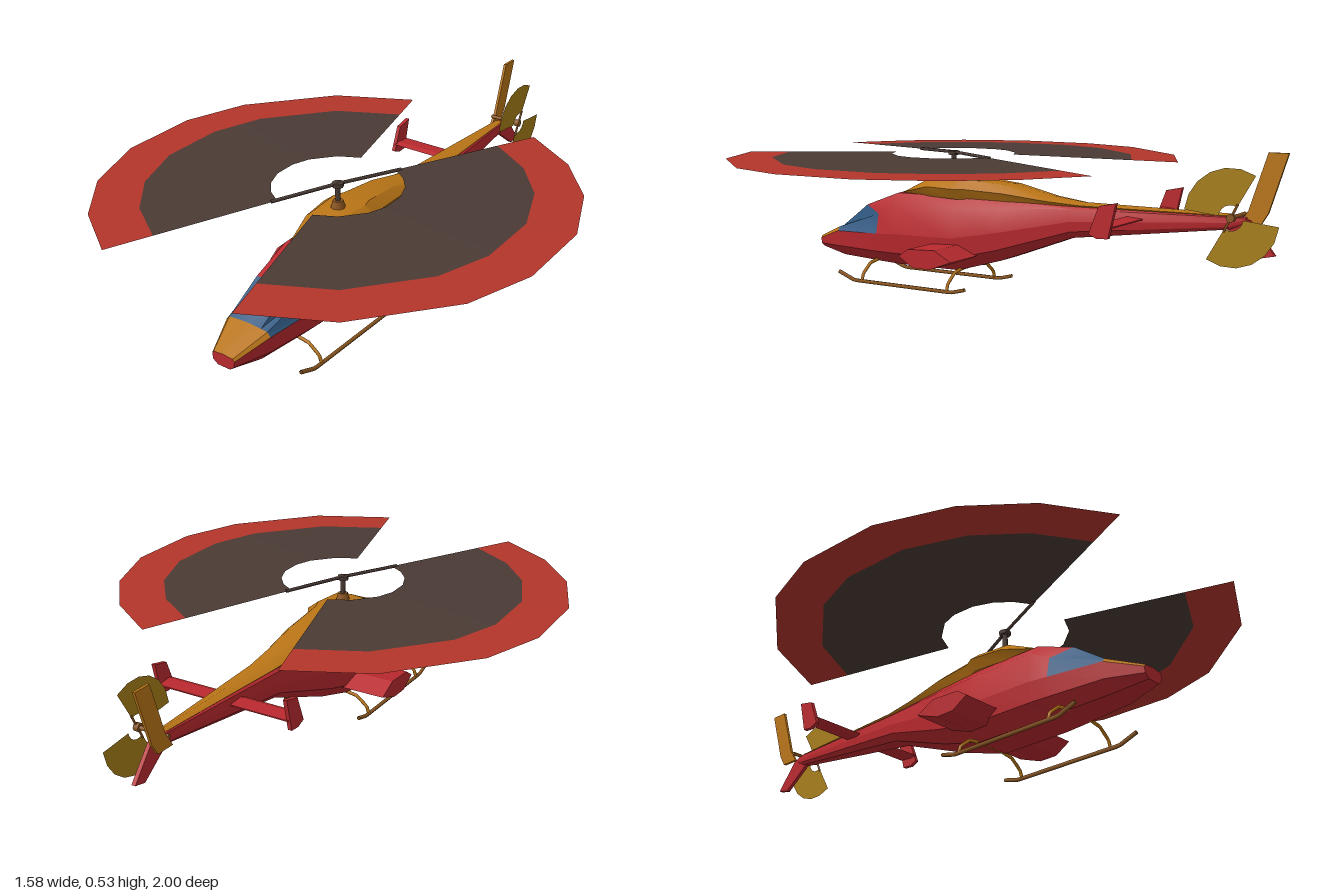
import * as THREE from 'three';
import { toCreasedNormals } from 'three/addons/utils/BufferGeometryUtils.js';

const paint = (color) => new THREE.MeshStandardMaterial({ color, side: THREE.DoubleSide });
const RED = paint(0xb8292e), ORANGE = paint(0xb87416), BLUE = paint(0x2f5880);
const DARK = paint(0x4a3a34), YELLOW = paint(0xa57d18), BROWN = paint(0x8a5520);
const TIP = paint(0xb3352a);
const lerp = THREE.MathUtils.lerp;

function add(parent, name, geometry, material) {
  const mesh = new THREE.Mesh(geometry, material);
  mesh.name = name;
  parent.add(mesh);
  return mesh;
}

// Skin over rows of [x, y, z] points
function skin(rows, crease = 0.6) {
  const pos = [];
  for (let i = 0; i < rows.length - 1; i++) {
    for (let j = 0; j < rows[i].length - 1; j++) {
      const a = rows[i][j], b = rows[i][j + 1], c = rows[i + 1][j + 1], d = rows[i + 1][j];
      pos.push(...a, ...b, ...c, ...a, ...c, ...d);
    }
  }
  const g = new THREE.BufferGeometry();
  g.setAttribute('position', new THREE.Float32BufferAttribute(pos, 3));
  g.computeVertexNormals();
  return toCreasedNormals(g, crease);
}

// Flat plate: outline in [z, y], thickness along x
function plate(points, thickness, x = 0) {
  const shape = new THREE.Shape(points.map(([z, y]) => new THREE.Vector2(z, y)));
  const g = new THREE.ExtrudeGeometry(shape, { depth: thickness, bevelEnabled: false });
  return g.translate(0, 0, -thickness / 2).rotateY(-Math.PI / 2).translate(x, 0, 0);
}

function rod(a, b, radius, sides = 8) {
  const A = new THREE.Vector3(...a), B = new THREE.Vector3(...b), d = B.clone().sub(A);
  const g = new THREE.CylinderGeometry(radius, radius, d.length(), sides);
  g.applyQuaternion(new THREE.Quaternion().setFromUnitVectors(new THREE.Vector3(0, 1, 0), d.normalize()));
  return g.translate(...A.add(B).multiplyScalar(0.5).toArray());
}

function bentTube(points, radius) {
  const path = new THREE.CurvePath();
  const v = points.map((p) => new THREE.Vector3(...p));
  for (let i = 1; i < v.length; i++) path.add(new THREE.LineCurve3(v[i - 1], v[i]));
  return new THREE.TubeGeometry(path, 32, radius, 6);
}

// Fuselage ring, clockwise from the top centre; rake slides the roof points forward
function ring([z, yb, yw, yt, w, rake = 0]) {
  const half = [
    [0, yt, z + rake], [0.58 * w, yt - 0.003, z + rake], [0.86 * w, lerp(yw, yt, 0.72), z],
    [w, yw, z], [0.95 * w, lerp(yb, yw, 0.4), z], [0.55 * w, yb, z], [0, yb, z],
  ];
  const mirror = half.slice(1, 6).reverse().map(([x, y, q]) => [-x, y, q]);
  return [...half, ...mirror];
}

function buildFuselage(model) {
  const body = new THREE.Group();
  body.name = 'fuselage';
  model.add(body);
  // z, bottom, waist, top, half width, rake
  const rings = [
    [0.82, 0.119, 0.12, 0.121, 0.001],
    [0.82, 0.095, 0.13, 0.142, 0.045],
    [0.70, 0.077, 0.172, 0.192, 0.09],
    [0.50, 0.07, 0.18, 0.28, 0.113, 0.075],
    [0.43, 0.068, 0.185, 0.333, 0.118],
    [0.17, 0.07, 0.19, 0.335, 0.12],
    [0.0, 0.118, 0.22, 0.335, 0.1],
    [-0.27, 0.218, 0.275, 0.333, 0.056],
    [-0.82, 0.288, 0.31, 0.333, 0.02],
    [-0.87, 0.31, 0.32, 0.33, 0.004],
  ].map(ring);
  const cut = (i0, i1, from) => skin(rings.slice(i0, i1 + 1).map((r) =>
    Array.from({ length: 7 }, (_, k) => r[(from + k) % 12])));
  add(body, 'lowerHull', cut(0, 9, 3), RED);
  add(body, 'noseTip', cut(0, 1, 9), RED);
  add(body, 'nosePanel', cut(1, 2, 9), ORANGE);
  add(body, 'windshield', cut(2, 3, 9), BLUE);
  add(body, 'upperHull', cut(3, 9, 9), RED);

  // Engine cowl running back into the spine of the boom: z, bottom, top, half width
  const cowl = [
    [0.435, 0.325, 0.333, 0.045], [0.42, 0.325, 0.34, 0.055], [0.29, 0.327, 0.398, 0.09],
    [0.17, 0.325, 0.4, 0.108], [0.13, 0.325, 0.398, 0.086], [-0.02, 0.325, 0.385, 0.075],
    [-0.18, 0.323, 0.352, 0.055], [-0.3, 0.322, 0.338, 0.043], [-0.82, 0.325, 0.337, 0.014],
  ].map(([z, yb, yt, w]) => {
    const half = [[0, yt], [0.6 * w, yt - 0.004], [w, lerp(yb, yt, 0.5)], [0.8 * w, yb]];
    const left = half.slice(1).reverse().map(([x, y]) => [-x, y, z]);
    return [...left, ...half.map(([x, y]) => [x, y, z])];
  });
  add(body, 'engineCowl', skin(cowl), ORANGE);
}

// Swept fan sectors, a point at radius r and angle a comes from place()
function fan(angles, r0, r1, place) {
  return skin([r1, r0].map((r) => angles.map((a) => place(r, THREE.MathUtils.degToRad(a)))), 0.2);
}

function buildMainRotor(model) {
  const rotor = new THREE.Group();
  rotor.name = 'mainRotor';
  rotor.position.set(0, 0, 0.232);
  model.add(rotor);
  add(rotor, 'mast', rod([0, 0.38, 0], [0, 0.485, 0], 0.009), DARK);
  add(rotor, 'mastCollar', new THREE.CylinderGeometry(0.018, 0.025, 0.025, 8).translate(0, 0.41, 0), BROWN);
  add(rotor, 'hub', new THREE.CylinderGeometry(0.02, 0.02, 0.014, 8).translate(0, 0.48, 0), DARK);
  const angles = [-66, -48.5, -31.5, -12.5, 9, 26.5, 52.5, 74];
  const cone = (r, a) => [r * Math.cos(a), 0.483 - 0.022 * r, r * Math.sin(a)];
  for (let i = 0; i < 2; i++) {
    const blade = new THREE.Group();
    blade.name = 'rotorBlade';
    blade.rotation.y = i * Math.PI;
    rotor.add(blade);
    add(blade, 'bladeSweep', fan(angles, 0.22, 0.64, cone), DARK);
    add(blade, 'bladeTip', fan(angles, 0.64, 0.8, cone), TIP);
    const root = THREE.MathUtils.degToRad(-65);
    add(blade, 'bladeRoot', rod(cone(0, root), cone(0.24, root), 0.006, 6), DARK);
  }
}

function buildTail(model) {
  const tail = new THREE.Group();
  tail.name = 'tail';
  model.add(tail);
  add(tail, 'upperFin', plate([[-0.83, 0.3], [-0.86, 0.345], [-0.92, 0.53], [-0.985, 0.53], [-0.925, 0.34], [-0.9, 0.3]], 0.01, -0.04), ORANGE);
  add(tail, 'lowerFin', plate([[-0.79, 0.3], [-0.84, 0.325], [-0.88, 0.32], [-0.965, 0.215], [-0.92, 0.205]], 0.014), RED);
  add(tail, 'tailplane', plate([[-0.455, 0.3], [-0.475, 0.307], [-0.53, 0.302], [-0.53, 0.298], [-0.475, 0.293]], 0.5), RED);
  for (const s of [-1, 1]) {
    add(tail, 'endPlate', plate([[-0.45, 0.275], [-0.485, 0.365], [-0.545, 0.378], [-0.518, 0.265], [-0.48, 0.262]], 0.014, s * 0.25), RED);
  }
  // Tail rotor on its side shaft
  const rotor = new THREE.Group();
  rotor.name = 'tailRotor';
  rotor.position.set(0, 0.333, -0.845);
  tail.add(rotor);
  add(rotor, 'shaft', rod([-0.045, 0, 0], [0.08, 0, 0], 0.007), BROWN);
  add(rotor, 'hub', rod([0.062, 0, 0], [0.08, 0, 0], 0.014), BROWN);
  const place = (r, a) => [0.075, r * Math.sin(a), -r * Math.cos(a)];
  for (const start of [60, 240]) {
    const angles = Array.from({ length: 7 }, (_, k) => start + k * 19);
    add(rotor, 'tailBlade', fan(angles, 0.04, 0.155, place), YELLOW);
    add(rotor, 'bladeRoot', rod([0.075, 0, 0], place(0.05, THREE.MathUtils.degToRad(start + 3)), 0.004, 6), BROWN);
  }
}

function buildLandingGear(model) {
  const gear = new THREE.Group();
  gear.name = 'landingGear';
  model.add(gear);
  for (const s of [-1, 1]) {
    const x = s * 0.155;
    add(gear, 'skid', bentTube([[x, 0.034, 0.64], [x, 0.008, 0.57], [x, 0.008, 0.14], [x, 0.022, 0.085]], 0.007), BROWN);
  }
  const half = [[0.155, 0.01], [0.147, 0.035], [0.105, 0.068], [0.05, 0.077]];
  const arch = [...half, ...half.map(([x, y]) => [-x, y]).reverse()];
  for (const z of [0.535, 0.16]) {
    add(gear, 'crossTube', bentTube(arch.map(([x, y]) => [x, y, z]), 0.006), ORANGE);
  }
}

export function createModel() {
  const model = new THREE.Group();
  model.name = 'helicopter';
  buildFuselage(model);
  // Stub wings with a six-sided section
  add(model, 'stubWings', plate([[0.29, 0.138], [0.25, 0.165], [0.14, 0.17], [0.07, 0.135], [0.16, 0.102], [0.23, 0.102]], 0.515), RED);
  buildMainRotor(model);
  buildTail(model);
  buildLandingGear(model);
  return model;
}
